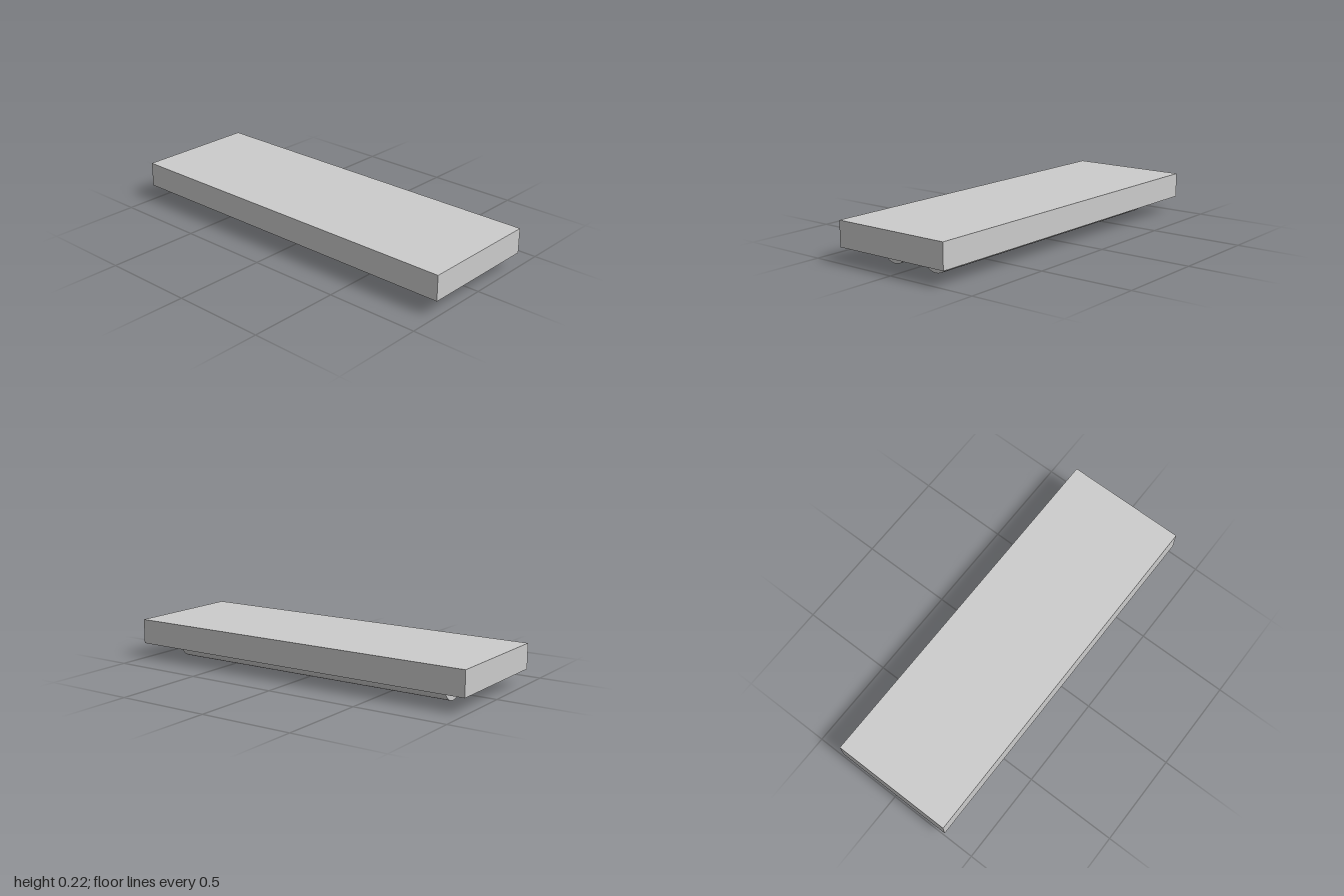
import * as THREE from 'three';

const WIDTH = 0.667, LENGTH = 2, TOP = 0.217, BOTTOM = 0.083, CEILING = 0.15;
const RECESS_W = 0.533, RECESS_L = 1.733;
const TUBE_R = 0.083, TUBE_L = 1.667, TUBE_X = 0.133;
const PIN_R = 0.033, PIN_L = 0.067;

const material = (color) => new THREE.MeshStandardMaterial({ color, flatShading: true });

function addMesh(parent, name, geometry, mat) {
  const mesh = new THREE.Mesh(geometry, mat);
  mesh.name = name;
  parent.add(mesh);
  return mesh;
}

// Traces a rectangle centred on the origin
function rectangle(path, w, h) {
  path.moveTo(-w / 2, -h / 2);
  path.lineTo(w / 2, -h / 2);
  path.lineTo(w / 2, h / 2);
  path.lineTo(-w / 2, h / 2);
  path.closePath();
  return path;
}

export function createModel() {
  const model = new THREE.Group();
  model.name = 'tubeLight';
  const grey = material(0xcccccc);
  const glass = material(0xe4e4e4);
  const dark = material(0x555555);

  // Housing: a solid slab above a rim that frames the recess underneath
  const housing = new THREE.Group();
  housing.name = 'housing';
  model.add(housing);
  addMesh(housing, 'housingTop', new THREE.BoxGeometry(WIDTH, TOP - CEILING, LENGTH), grey)
    .position.y = (TOP + CEILING) / 2;

  const rimShape = rectangle(new THREE.Shape(), WIDTH, LENGTH);
  rimShape.holes.push(rectangle(new THREE.Path(), RECESS_W, RECESS_L));
  const rimGeometry = new THREE.ExtrudeGeometry(rimShape, { depth: CEILING - BOTTOM, bevelEnabled: false });
  rimGeometry.rotateX(-Math.PI / 2);
  addMesh(housing, 'housingRim', rimGeometry, grey).position.y = BOTTOM;

  // Two tubes, half sunk in the recess, each held by a pin at both ends
  const tubeGeometry = new THREE.CylinderGeometry(TUBE_R, TUBE_R, TUBE_L, 32).rotateX(Math.PI / 2);
  const pinGeometry = new THREE.CylinderGeometry(PIN_R, PIN_R, PIN_L, 32).rotateX(Math.PI / 2);
  for (const side of [1, -1]) {
    const lamp = new THREE.Group();
    lamp.name = side > 0 ? 'leftLamp' : 'rightLamp';
    lamp.position.set(side * TUBE_X, TUBE_R, 0);
    model.add(lamp);
    addMesh(lamp, 'tube', tubeGeometry, glass);
    for (const end of [1, -1]) {
      addMesh(lamp, end > 0 ? 'frontPin' : 'backPin', pinGeometry, dark)
        .position.z = end * (TUBE_L + PIN_L) / 2;
    }
  }
  return model;
}
